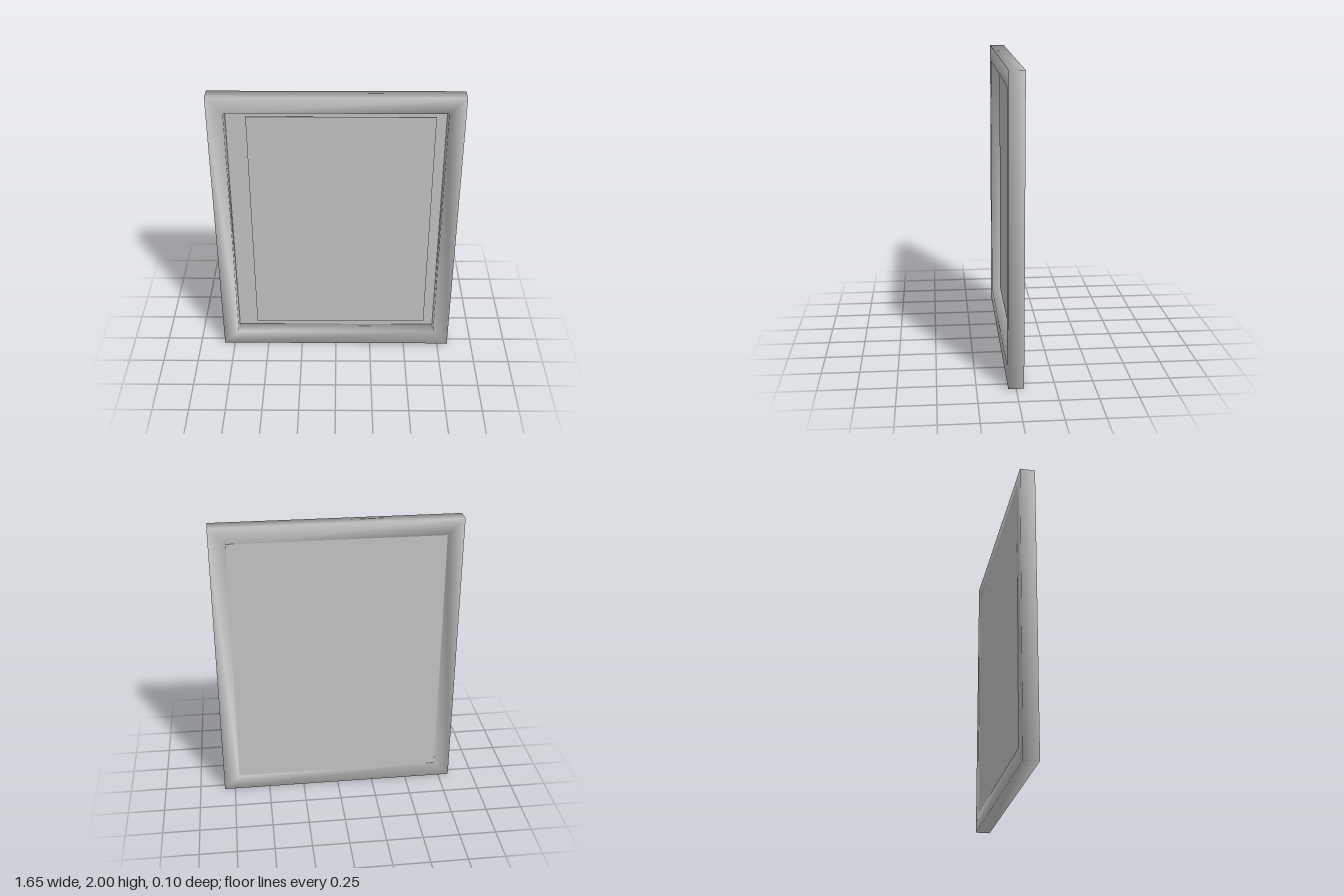
import * as THREE from 'three';

const HALF_W = 0.825, HEIGHT = 2, DEPTH = 0.05, BAR = 0.11;

// Rectangular ring swept around the four corners, with normals shared across its edges
function ringGeometry() {
  const profile = [[0, DEPTH], [BAR, DEPTH], [BAR, -DEPTH], [0, -DEPTH]]; // [inset, z]
  const corners = [[-1, 1], [1, 1], [1, -1], [-1, -1]];
  const positions = [], index = [];
  corners.forEach(([sx, sy], c) => {
    profile.forEach(([inset, z], p) => {
      positions.push(sx * (HALF_W - inset), HEIGHT / 2 + sy * (HEIGHT / 2 - inset), z);
      const next = (c + 1) % 4, q = (p + 1) % 4;
      const a = c * 4 + p, b = c * 4 + q, d = next * 4 + p, e = next * 4 + q;
      index.push(a, b, d, b, e, d);
    });
  });
  const geometry = new THREE.BufferGeometry();
  geometry.setAttribute('position', new THREE.Float32BufferAttribute(positions, 3));
  geometry.setIndex(index);
  geometry.computeVertexNormals();
  return geometry;
}

export function createModel() {
  const group = new THREE.Group();
  group.name = 'pictureFrame';
  const grey = new THREE.MeshStandardMaterial({ color: 0xc4c4c4 });
  grey.name = 'light grey';

  const add = (name, geometry, x, y, z) => {
    const mesh = new THREE.Mesh(geometry, grey);
    mesh.name = name;
    mesh.position.set(x, y, z);
    group.add(mesh);
  };

  add('frame', ringGeometry(), 0, 0, 0);

  // Backing board, flush with the rear of the frame
  const board = new THREE.BoxGeometry(2 * (HALF_W - BAR), HEIGHT - 2 * BAR, 0.01);
  add('backBoard', board, 0, HEIGHT / 2, -0.045);

  // Thin picture sheet, set slightly off centre in the opening
  add('picture', new THREE.BoxGeometry(1.225, 1.67, 0.004), 0.0325, 1.005, -0.005);

  return group;
}
